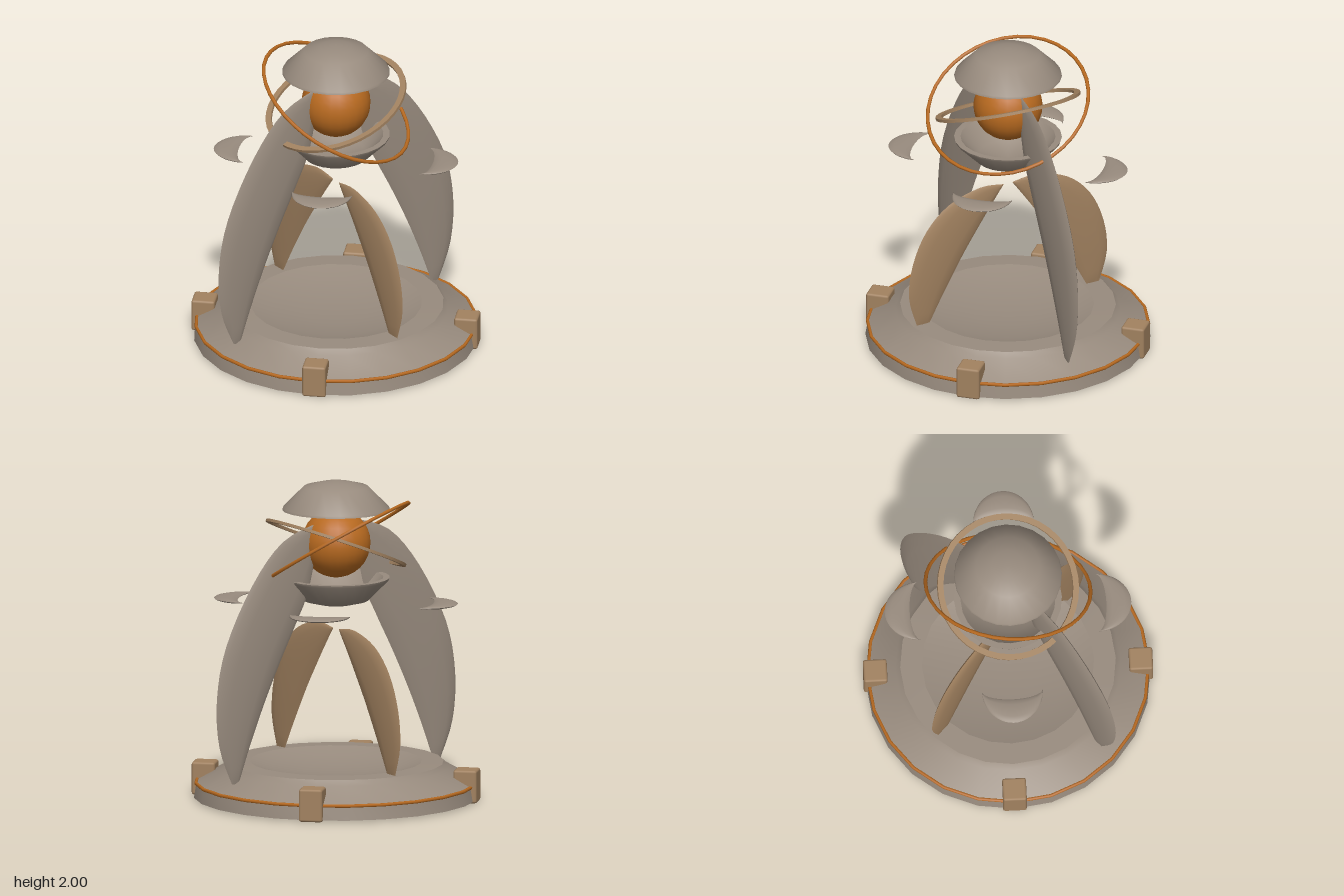
import * as THREE from 'three';
import { toCreasedNormals } from 'three/addons/utils/BufferGeometryUtils.js';
import { RoundedBoxGeometry } from 'three/addons/geometries/RoundedBoxGeometry.js';

const mat = (name, color, side = THREE.FrontSide) => {
  const m = new THREE.MeshStandardMaterial({ color, side });
  m.name = name;
  return m;
};
const v2 = (pts) => pts.map(([x, y]) => new THREE.Vector2(x, y));

function add(parent, name, geometry, material) {
  const mesh = new THREE.Mesh(geometry, material);
  mesh.name = name;
  parent.add(mesh);
  return mesh;
}

const lathe = (pts, segments = 24) =>
  toCreasedNormals(new THREE.LatheGeometry(v2(pts), segments), 0.7);

// Blade with a lens cross-section between two edge curves that share a tip
function blade(outerPts, innerPts, halfThickness, steps = 24, sides = 12) {
  const outer = new THREE.SplineCurve(v2(outerPts));
  const inner = new THREE.SplineCurve(v2(innerPts));
  const pos = [], index = [];
  for (let i = 0; i <= steps; i++) {
    const t = i / steps;
    const o = outer.getPoint(t), n = inner.getPoint(t);
    const h = halfThickness * Math.pow(Math.max(0, Math.sin(Math.PI * t)), 0.7);
    for (let k = 0; k < sides; k++) {
      const a = (2 * Math.PI * k) / sides, c = (1 + Math.cos(a)) / 2;
      pos.push(n.x + (o.x - n.x) * c, n.y + (o.y - n.y) * c, h * Math.sin(a));
    }
  }
  for (let i = 0; i < steps; i++) {
    for (let k = 0; k < sides; k++) {
      const a = i * sides + k, b = i * sides + ((k + 1) % sides);
      index.push(a, a + sides, b, b, a + sides, b + sides);
    }
  }
  const g = new THREE.BufferGeometry();
  g.setAttribute('position', new THREE.Float32BufferAttribute(pos, 3));
  g.setIndex(index);
  return toCreasedNormals(g, 0.7);
}

export function createModel() {
  const model = new THREE.Group();
  model.name = 'orbShrine';
  const stone = mat('warm grey stone', 0x988b7e);
  const shell = mat('warm grey shell', 0x988b7e, THREE.DoubleSide);
  const bronze = mat('tan bronze', 0xa28260);
  const amber = mat('amber', 0xb86a20);

  // Base: hollow plinth with a shallow dish on top
  const base = new THREE.Group();
  base.name = 'base';
  model.add(base);
  add(base, 'plinth', lathe([
    [0.885, 0.01], [0.87, 0.1], [0.7, 0.195], [0.67, 0.228], [0.535, 0.232],
  ]), shell);
  add(base, 'dish', lathe([
    [0.535, 0.232], [0.4, 0.193], [0.2, 0.168], [0, 0.16],
  ]), shell);
  const trim = add(base, 'rimTrim', new THREE.TorusGeometry(0.872, 0.011, 6, 24), amber);
  trim.rotation.set(Math.PI / 2, 0, Math.PI / 2);
  trim.position.y = 0.1;

  // Plate and lamps beneath the plinth
  const plate = add(base, 'underPlate', new THREE.CylinderGeometry(0.47, 0.47, 0.02, 24), stone);
  plate.position.y = 0.04;
  for (const [x, z] of [[0.1, -0.3], [-0.2, 0.21], [0.11, 0.31]]) {
    const lamp = add(base, 'underLamp', new THREE.CylinderGeometry(0.045, 0.045, 0.008, 16), amber);
    lamp.position.set(x, 0.027, z);
  }

  // Diagonal clamps and floating crescents
  const arc = (bulge, depth) => {
    const pts = [];
    for (let i = 0; i <= 12; i++) {
      const a = (i / 12 - 0.5) * Math.PI;
      pts.push([Math.cos(a) * bulge - depth, Math.sin(a) * 0.19]);
    }
    return pts;
  };
  const crescentGeo = blade(arc(0.215, 0.015), arc(0.06, 0.015), 0.014);
  crescentGeo.rotateX(-Math.PI / 2);
  const clampGeo = new RoundedBoxGeometry(0.148, 0.205, 0.148, 1, 0.014);
  for (let i = 0; i < 4; i++) {
    const arm = new THREE.Group();
    arm.name = 'corner';
    arm.rotation.y = Math.PI / 4 + (i * Math.PI) / 2;
    model.add(arm);
    add(arm, 'clamp', clampGeo, bronze).position.set(0.825, 0.1025, 0);
    add(arm, 'crescent', crescentGeo, stone).position.set(0.566, 1.24, 0);
  }

  // Tall fins front and back, short fins left and right
  const tallFin = blade(
    [[0.785, 0.16], [0.88, 0.4], [0.9, 0.7], [0.83, 1.03], [0.63, 1.4], [0.4, 1.65], [0.12, 1.75]],
    [[0.735, 0.16], [0.65, 0.39], [0.54, 0.65], [0.42, 0.9], [0.3, 1.13], [0.2, 1.35], [0.12, 1.75]], 0.032);
  const shortFin = blade(
    [[0.645, 0.23], [0.7, 0.43], [0.675, 0.65], [0.58, 0.86], [0.42, 1.01], [0.2, 1.08], [0.03, 1.065]],
    [[0.555, 0.23], [0.48, 0.37], [0.4, 0.51], [0.31, 0.66], [0.21, 0.81], [0.12, 0.94], [0.03, 1.065]], 0.024);
  for (const s of [-1, 1]) {
    add(model, 'tallFin', tallFin, stone).rotation.y = (s * Math.PI) / 2;
    add(model, 'shortFin', shortFin, bronze).rotation.y = s > 0 ? 0 : Math.PI;
  }

  // Orb between a hollow cap and a matching bowl
  const orb = add(model, 'orb', new THREE.SphereGeometry(0.215, 24, 16), amber);
  orb.position.y = 1.605;
  const cup = lathe([
    [0.295, 0.215], [0.335, 0.215], [0.33, 0.23], [0.2, 0.36], [0.1, 0.385], [0, 0.4],
    [0, 0.37], [0.18, 0.335], [0.295, 0.215],
  ]);
  add(model, 'cap', cup, stone).position.y = 1.6;
  const bowl = add(model, 'bowl', cup, stone);
  bowl.position.y = 1.605;
  bowl.rotation.x = Math.PI;

  // Two tilted orbit rings
  const flatRing = add(model, 'flatRing', lathe([
    [0.42, -0.009], [0.457, -0.009], [0.457, 0.009], [0.42, 0.009], [0.42, -0.009],
  ], 40), bronze);
  flatRing.position.y = 1.605;
  flatRing.rotation.x = 0.385;
  const thinRing = add(model, 'thinRing', new THREE.TorusGeometry(0.515, 0.012, 6, 36), amber);
  thinRing.position.y = 1.605;
  thinRing.quaternion.setFromUnitVectors(
    new THREE.Vector3(0, 0, 1), new THREE.Vector3(0.433, 0.853, -0.286).normalize());

  return model;
}
